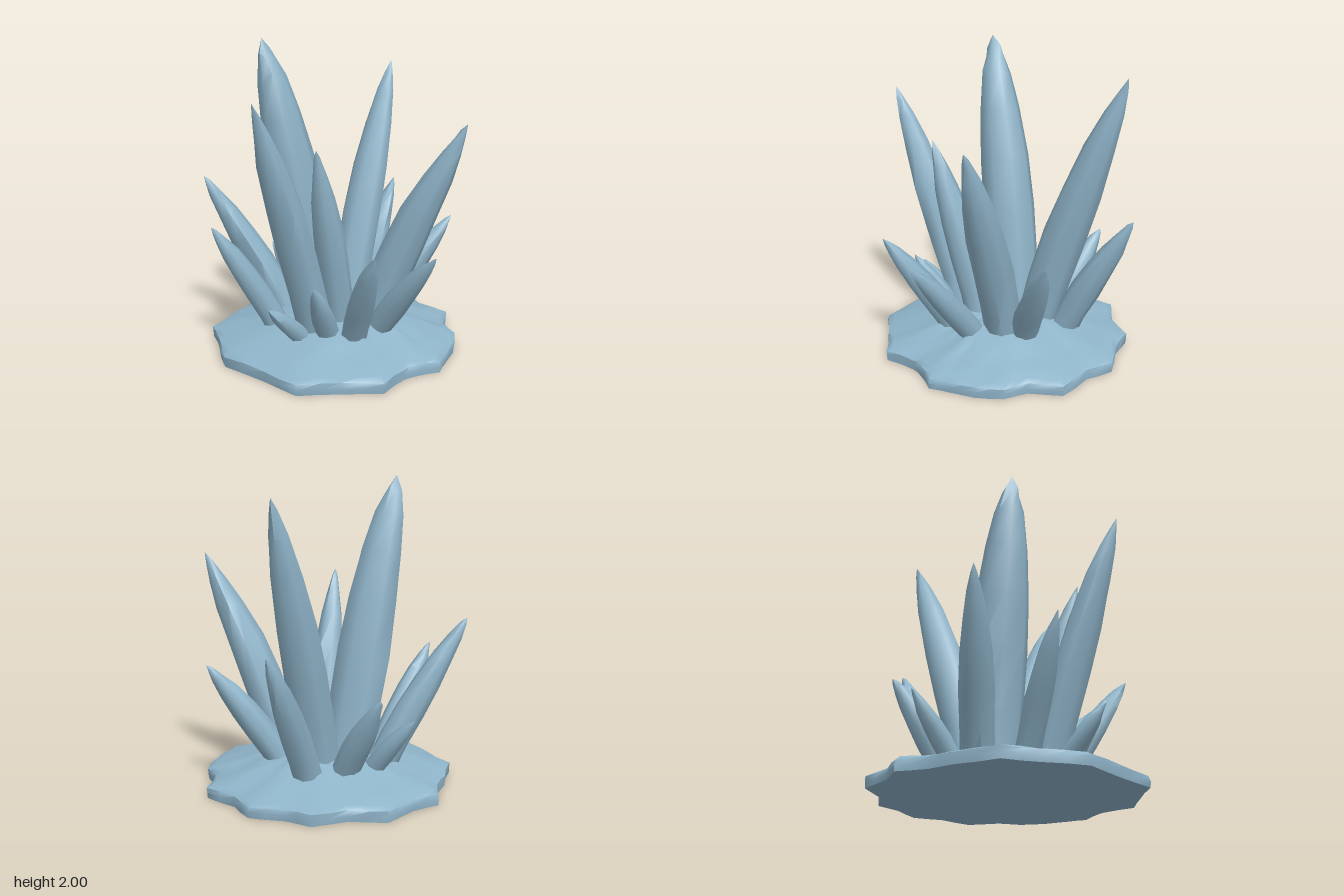
import * as THREE from 'three';
import { toCreasedNormals } from 'three/addons/utils/BufferGeometryUtils.js';

const stone = new THREE.MeshStandardMaterial({ color: 0x8fb4c9 });
stone.name = 'paleBlueCrystal';

// Small seeded generator for natural irregularity, range -1..1
function seeded(seed) {
  let s = seed * 7919 + 17;
  return () => {
    s = (s * 16807) % 2147483647;
    return (s / 2147483647) * 2 - 1;
  };
}

// Skin a stack of closed rings (lowest first, counter-clockwise from above), with a cap point at each end
function skin(rings, bottom, top) {
  const n = rings[0].length;
  const points = [...rings.flat(), bottom, top];
  const index = [];
  const low = rings.length * n;
  const last = low - n;
  for (let r = 0; r < rings.length - 1; r++) {
    for (let i = 0; i < n; i++) {
      const a = r * n + i, b = r * n + (i + 1) % n;
      index.push(a, b, b + n, a, b + n, a + n);
    }
  }
  for (let i = 0; i < n; i++) {
    const j = (i + 1) % n;
    index.push(low, j, i, last + i, last + j, low + 1);
  }
  const g = new THREE.BufferGeometry().setFromPoints(points);
  g.setIndex(index);
  return g;
}

// Spindle crystal: [share of length, share of radius], closing to a sharp, outward-leaning tip
const profile = [[0, 1], [0.2, 0.98], [0.4, 1], [0.58, 0.9], [0.75, 0.7], [0.87, 0.44], [0.95, 0.2]];

function crystal(name, base, tip, radius, bow, taper, seed) {
  const rand = seeded(seed);
  const sides = 8;
  const a = new THREE.Vector3(...base), b = new THREE.Vector3(...tip);
  const axis = b.clone().sub(a).normalize();
  const turn = new THREE.Quaternion().setFromUnitVectors(new THREE.Vector3(0, 1, 0), axis);
  const facet = Array.from({ length: sides }, () => 1 + 0.06 * rand());
  const spin = rand() * Math.PI;
  const rings = profile.map(([t, r]) => {
    const h = Math.pow(t, bow);
    const c = new THREE.Vector3(a.x + (b.x - a.x) * h, a.y + (b.y - a.y) * t, a.z + (b.z - a.z) * h);
    return facet.map((f, i) => {
      const w = spin - (i / sides) * Math.PI * 2;
      const d = radius * Math.pow(r, taper) * f * (1 + 0.04 * rand());
      const lift = t > 0.6 ? radius * 0.2 * rand() : 0;
      return new THREE.Vector3(Math.cos(w) * d, lift, Math.sin(w) * d).applyQuaternion(turn).add(c);
    });
  });
  const mesh = new THREE.Mesh(toCreasedNormals(skin(rings, a, b), 1.0), stone);
  mesh.name = name;
  return mesh;
}

// Rocky base: irregular outline, low rim, lumpy mound rising to the middle
function rockBase() {
  const outline = [
    [-0.04, -0.85], [-0.2, -0.75], [-0.36, -0.71], [-0.6, -0.61], [-0.7, -0.4], [-0.82, -0.18], [-0.77, 0.15],
    [-0.75, 0.41], [-0.55, 0.58], [-0.37, 0.75], [-0.15, 0.72], [-0.07, 0.74], [0.08, 0.81], [0.2, 0.76],
    [0.36, 0.7], [0.5, 0.6], [0.57, 0.46], [0.75, 0.34], [0.75, 0.1], [0.82, -0.08], [0.72, -0.28],
    [0.69, -0.45], [0.5, -0.57], [0.37, -0.76], [0.13, -0.78],
  ];
  const rand = seeded(5);
  // a slightly displaced midpoint on every edge
  const edge = outline.flatMap(([x, z], i) => {
    const [u, v] = outline[(i + 1) % outline.length];
    const k = 0.5 * (1 + 0.01 * rand());
    return [[x, z], [(x + u) * k, (z + v) * k]];
  });
  // scale, height, roughness
  const levels = [
    [0.995, 0, 0], [1, 0.035, 0.002], [0.995, 0.068, 0.005], [0.95, 0.086, 0.005], [0.8, 0.113, 0.009],
    [0.64, 0.158, 0.01], [0.48, 0.205, 0.01], [0.3, 0.235, 0.008],
  ];
  const rings = levels.map(([s, y, rough]) => edge.map(([x, z]) => {
    const k = s * (1 + 1.5 * rough * rand());
    return new THREE.Vector3(x * k, y + rough * rand(), z * k);
  }));
  const g = skin(rings, new THREE.Vector3(), new THREE.Vector3(0, 0.25, 0));
  const mesh = new THREE.Mesh(toCreasedNormals(g, 0.95), stone);
  mesh.name = 'rockBase';
  return mesh;
}

export function createModel() {
  const group = new THREE.Group();
  group.name = 'crystalCluster';
  group.add(rockBase());

  // name, foot, tip, radius, bow, taper
  const crystals = [
    ['tallCrystal', [-0.03, 0.1, -0.15], [-0.37, 2.0, -0.3], 0.18, 1.25, 0.75],
    ['largeLeftCrystal', [0.17, 0.1, -0.1], [0.75, 1.83, -0.22], 0.135, 1.15],
    ['largeRightCrystal', [-0.26, 0.1, 0.07], [-0.83, 1.67, 0.17], 0.125],
    ['largeFrontCrystal', [0.14, 0.1, 0.17], [0.35, 1.5, 0.75], 0.13, 1.18],
    ['innerRightCrystal', [-0.09, 0.1, 0.11], [-0.42, 1.37, 0.24], 0.11],
    ['backRightCrystal', [-0.13, 0.1, -0.35], [-0.53, 1.09, -0.75], 0.1],
    ['outerLeftCrystal', [0.36, 0.1, -0.16], [0.82, 0.96, -0.24], 0.095],
    ['outerRightCrystal', [-0.35, 0.1, -0.19], [-0.77, 0.86, -0.34], 0.08],
    ['frontLeftCrystal', [0.25, 0.1, 0.12], [0.66, 0.82, 0.42], 0.09],
    ['frontCrystal', [0.02, 0.1, 0.3], [-0.02, 0.76, 0.83], 0.08],
    ['frontRightCrystal', [-0.17, 0.1, 0.3], [-0.41, 0.82, 0.7], 0.085],
    ['backLeftCrystal', [0.2, 0.1, -0.29], [0.31, 0.68, -0.66], 0.085],
    ['backCrystal', [0.03, 0.1, -0.37], [0.03, 0.52, -0.72], 0.063],
    ['smallRightCrystal', [-0.26, 0.1, 0.19], [-0.53, 0.57, 0.33], 0.07],
    ['lowRightCrystal', [-0.36, 0.1, 0.08], [-0.69, 0.42, 0.1], 0.06],
  ];
  crystals.forEach(([name, foot, tip, radius, bow = 1.13, taper = 1], i) => {
    group.add(crystal(name, foot, tip, radius, bow, taper, i + 3));
  });
  return group;
}
